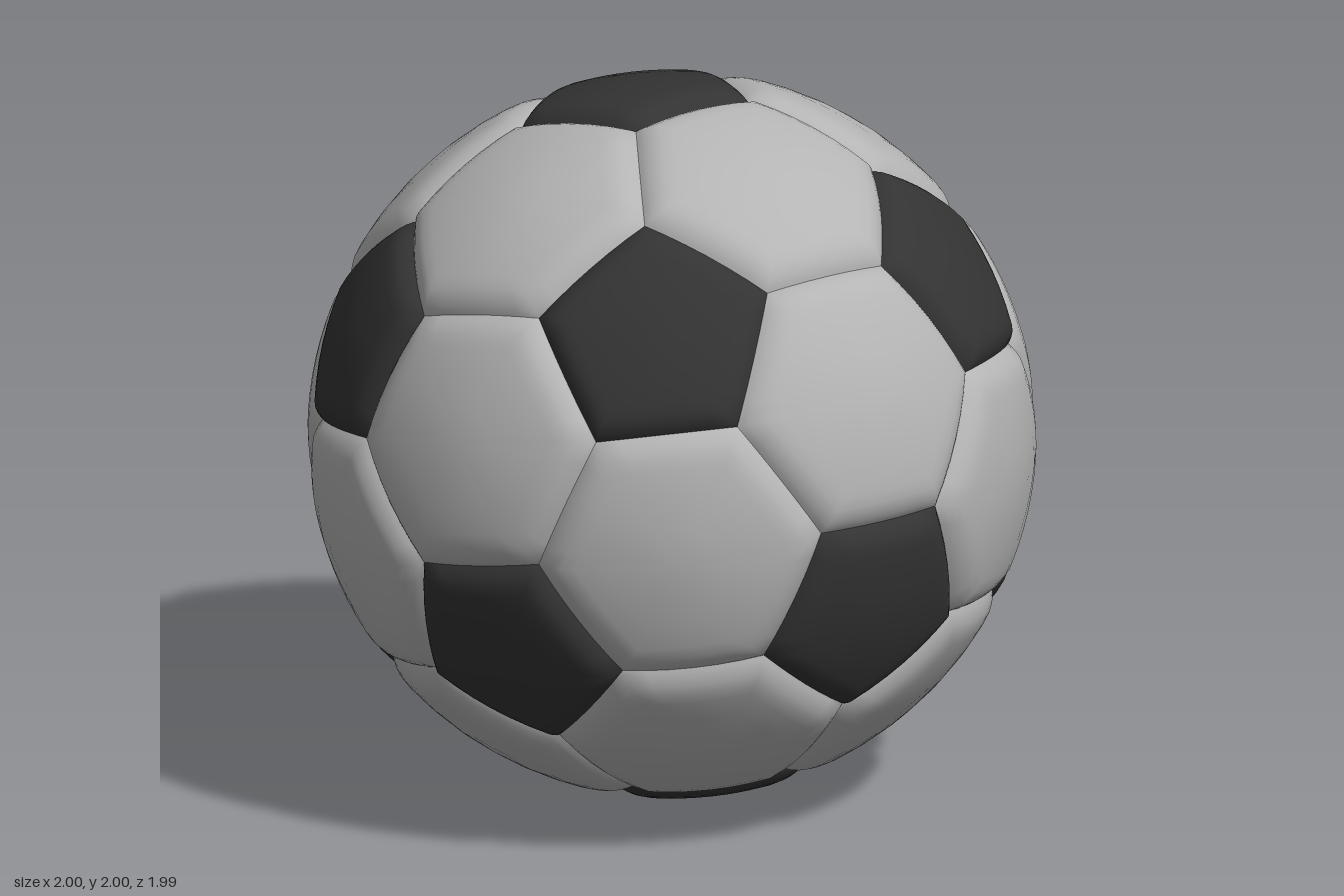
import * as THREE from 'three';

const SEGMENTS = 6;                                   // divisions of each seam
const RINGS = [0.25, 0.5, 0.7, 0.8, 0.87, 0.93, 0.97, 1];
const SEAM_DEPTH = 0.035;

// Padded panel: full radius in the middle, rolling down to the seam
function panelRadius(t) {
  const edge = Math.max(0, (t - 0.7) / 0.3);
  return 1 - SEAM_DEPTH * edge ** 2.5;
}

// Concentric rings from the panel centre out to its corners, on the ball
function panelGeometry(corners) {
  const centre = corners.reduce((sum, p) => sum.add(p), new THREE.Vector3())
    .divideScalar(corners.length);
  const axis = centre.clone().normalize();
  const u = corners[0].clone().sub(centre).normalize();
  const v = axis.clone().cross(u);
  const angle = (p) => Math.atan2(p.dot(v), p.dot(u));
  const sorted = [...corners].sort((a, b) => angle(a) - angle(b));

  const outline = [];
  sorted.forEach((p, i) => {
    const next = sorted[(i + 1) % sorted.length];
    for (let k = 0; k < SEGMENTS; k++) outline.push(p.clone().lerp(next, k / SEGMENTS));
  });

  const positions = [...axis.toArray()];
  const indices = [];
  const n = outline.length;
  RINGS.forEach((t, r) => {
    outline.forEach((p, i) => {
      const q = centre.clone().lerp(p, t).setLength(panelRadius(t));
      positions.push(q.x, q.y, q.z);
      const j = (i + 1) % n;
      const outer = 1 + r * n;
      const inner = outer - n;
      if (r === 0) indices.push(0, outer + i, outer + j);
      else indices.push(inner + i, outer + i, outer + j, inner + i, outer + j, inner + j);
    });
  });

  const geometry = new THREE.BufferGeometry();
  geometry.setAttribute('position', new THREE.Float32BufferAttribute(positions, 3));
  geometry.setIndex(indices);
  geometry.computeVertexNormals();
  return geometry;
}

// Twelve icosahedron corners, tilted: the centres of the dark panels
function darkCentres() {
  const axis = new THREE.Vector3(0.03, 0.985, -0.174).normalize();
  const p = new THREE.Vector3(1, 0, 0).addScaledVector(axis, -axis.x).normalize();
  const q = p.clone().cross(axis);                    // points towards the front
  const points = [axis.clone()];
  for (let k = 0; k < 5; k++) {
    const a = THREE.MathUtils.degToRad(65.7 + 72 * k);
    points.push(axis.clone().multiplyScalar(1 / Math.sqrt(5))
      .addScaledVector(p, Math.cos(a) * 2 / Math.sqrt(5))
      .addScaledVector(q, Math.sin(a) * 2 / Math.sqrt(5)));
  }
  return [...points, ...points.map((c) => c.clone().negate())];
}

export function createModel() {
  const light = new THREE.MeshStandardMaterial({ color: 0xb4b4b4 });
  light.name = 'light grey';
  const dark = new THREE.MeshStandardMaterial({ color: 0x333333 });
  dark.name = 'charcoal';

  const ball = new THREE.Group();
  ball.name = 'ball';
  const addPanel = (name, corners, material) => {
    const mesh = new THREE.Mesh(panelGeometry(corners), material);
    mesh.name = name;
    mesh.position.y = 1;
    ball.add(mesh);
  };

  const c = darkCentres();
  const near = (a, b) => a !== b && a.dot(b) > 0.3;
  const corner = (a, b) => a.clone().multiplyScalar(2).add(b).normalize();

  // Dark pentagons, one around each centre
  c.forEach((a) => addPanel('pentagonPanel',
    c.filter((b) => near(a, b)).map((b) => corner(a, b)), dark));

  // Light hexagons, one between every three neighbouring centres
  for (let i = 0; i < 12; i++)
    for (let j = i + 1; j < 12; j++)
      for (let k = j + 1; k < 12; k++) {
        const trio = [c[i], c[j], c[k]];
        if (!near(c[i], c[j]) || !near(c[j], c[k]) || !near(c[i], c[k])) continue;
        const corners = trio.flatMap((a) =>
          trio.filter((b) => b !== a).map((b) => corner(a, b)));
        addPanel('hexagonPanel', corners, light);
      }

  return ball;
}
